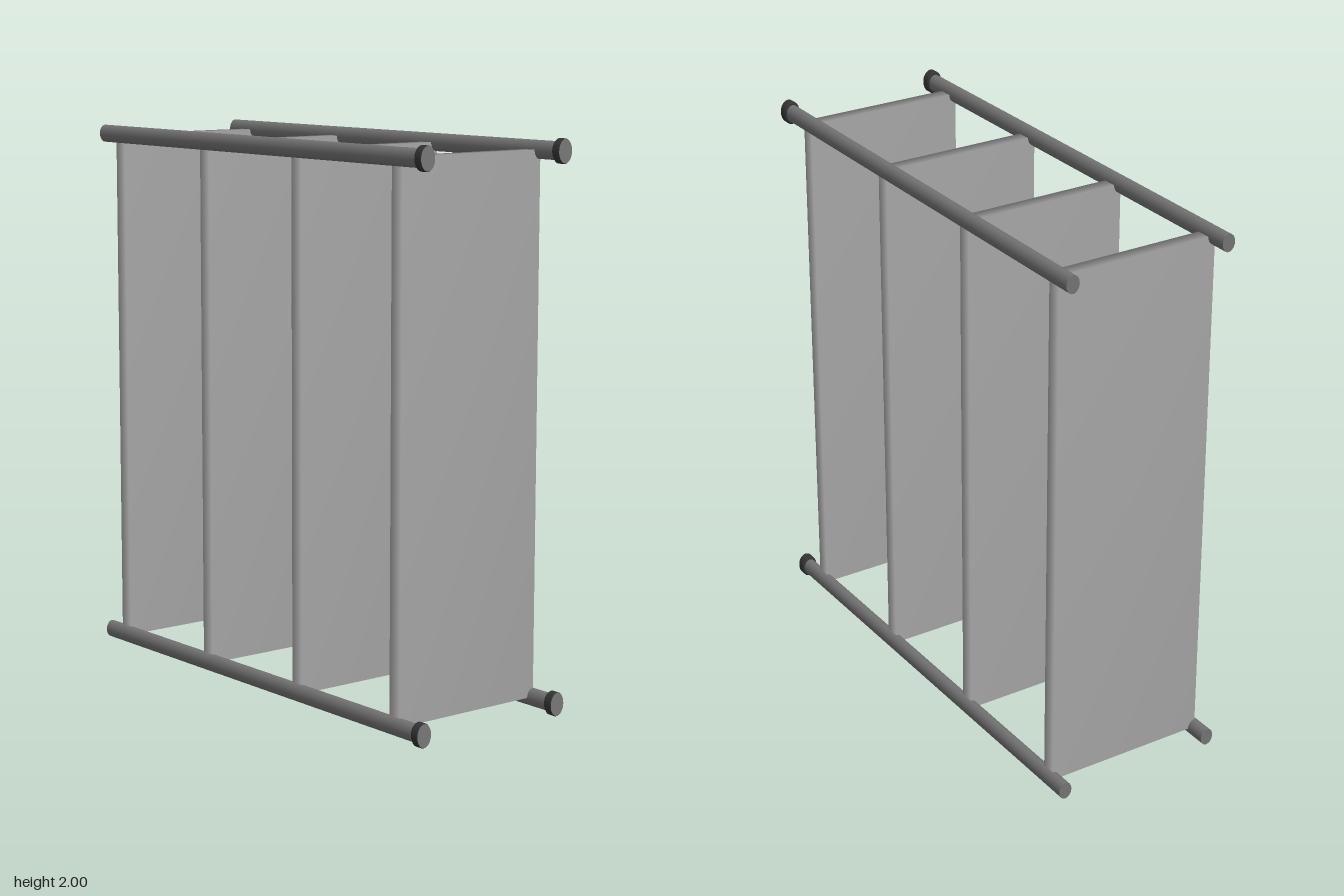
import * as THREE from 'three';
import { mergeVertices } from 'three/addons/utils/BufferGeometryUtils.js';

const shelfGrey = new THREE.MeshStandardMaterial({ color: 0xa4a4a4 });
const postGrey = new THREE.MeshStandardMaterial({ color: 0x727272 });
const capFaceGrey = new THREE.MeshStandardMaterial({ color: 0x777777 });
const capDark = new THREE.MeshStandardMaterial({ color: 0x343434 });

// Turned part along z with an oval section; profile is [radius, z], radii in units of y
function ovalTurned(profile, squash) {
  const geometry = new THREE.LatheGeometry(profile.map(([r, z]) => new THREE.Vector2(r, z)), 32);
  geometry.rotateX(Math.PI / 2);
  geometry.scale(squash, 1, 1);
  return geometry;
}

// Slab whose faces share corner normals, so its narrow edges shade as if rounded
function softSlab(width, height, depth) {
  const box = new THREE.BoxGeometry(width, height, depth);
  box.deleteAttribute('normal');
  box.deleteAttribute('uv');
  const geometry = mergeVertices(box);
  geometry.computeVertexNormals();
  return geometry;
}

export function createModel() {
  const model = new THREE.Group();
  model.name = 'shelfUnit';

  const add = (geometry, material, name, x, y, z) => {
    const mesh = new THREE.Mesh(geometry, material);
    mesh.name = name;
    mesh.position.set(x, y, z);
    model.add(mesh);
  };

  const postX = 0.304, postYs = [0.045, 1.957];

  // Four shelves, reaching to the centre lines of the posts
  const shelf = softSlab(0.612, postYs[1] - postYs[0], 0.053);
  for (let i = 0; i < 4; i++) add(shelf, shelfGrey, 'shelf', 0, 1.001, 0.774 - i * 0.532);

  // Oval posts with flat ends, doubled profile points keep the rims sharp
  const post = ovalTurned([[0, -0.925], [0.032, -0.925], [0.032, -0.925], [0.032, 0.9], [0.032, 0.9], [0, 0.9]], 0.78);
  // Dark foot collar with a slight shoulder where it meets the post, and its lighter end face
  const collar = ovalTurned([
    [0, -0.018], [0.038, -0.018], [0.038, -0.018], [0.043, -0.012], [0.043, -0.012],
    [0.043, 0.015], [0.043, 0.015], [0.041, 0.018],
  ], 0.73);
  const face = new THREE.CircleGeometry(0.041, 32).scale(0.73, 1, 1);

  for (const side of [-1, 1]) {
    for (const y of postYs) {
      add(post, postGrey, 'post', side * postX, y, 0);
      add(collar, capDark, 'footCollar', side * postX, y, 0.907);
      add(face, capFaceGrey, 'footFace', side * postX, y, 0.925);
    }
  }
  return model;
}
